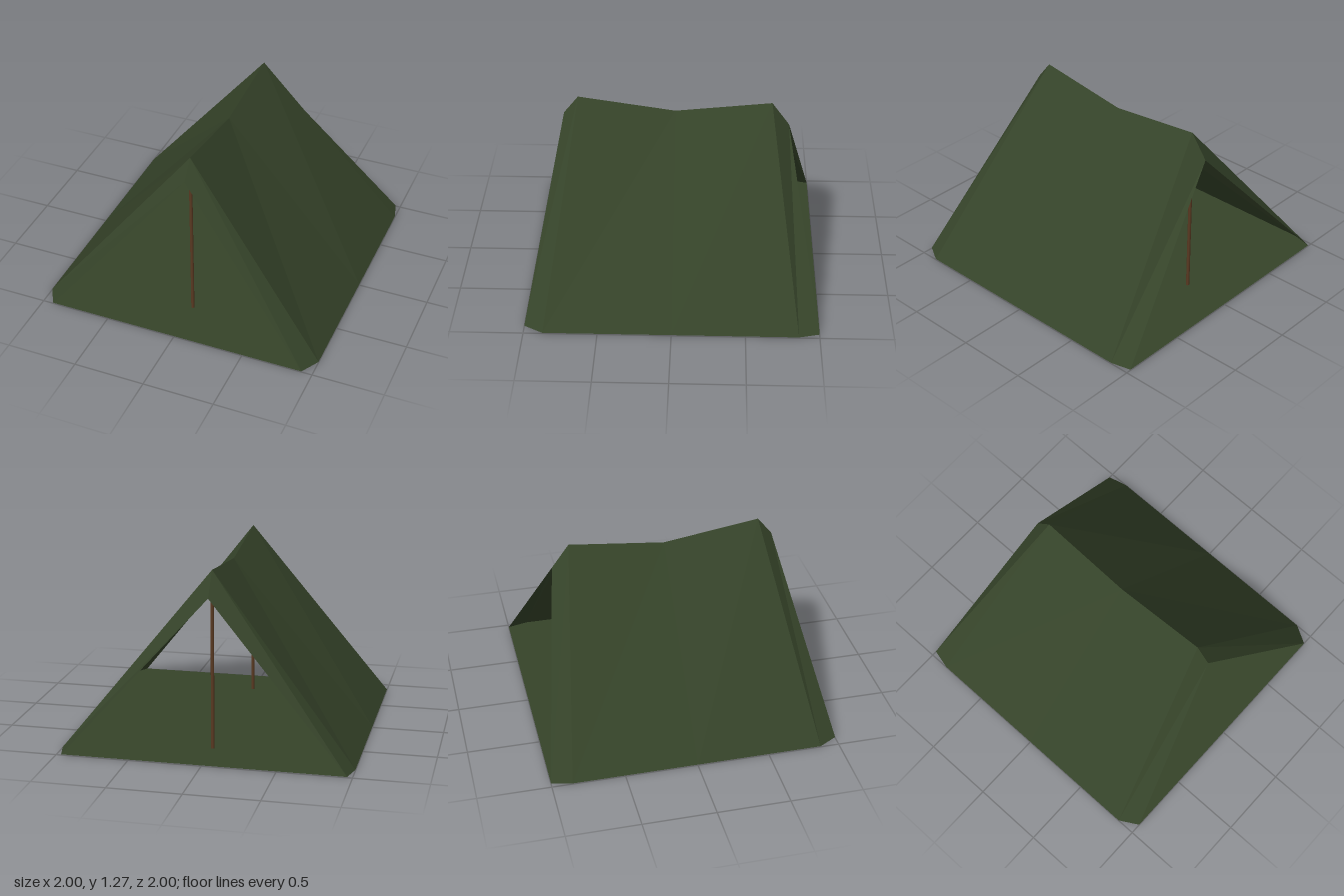
import * as THREE from 'three';

const canvas = new THREE.MeshStandardMaterial({ color: 0x354329, side: THREE.DoubleSide });
canvas.name = 'olive canvas';
const wood = new THREE.MeshStandardMaterial({ color: 0x5a3a22 });
wood.name = 'brown wood';

const BASE = 0.005;
// Cross-sections front to back: half width and z at the ground, then ridge height and z
const sections = [
  { w: 0.925, z: 1.0, h: 1.15, rz: 0.77 },
  { w: 1.0, z: 0.87, h: 1.275, rz: 0.67 },
  { w: 1.0, z: 0.0, h: 1.175, rz: 0.0 },
  { w: 1.0, z: -0.86, h: 1.245, rz: -0.665 },
  { w: 0.965, z: -1.0, h: 1.08, rz: -0.785 },
];

// Flat-shaded surface from a list of quads, each with four corners
function quadMesh(name, quads) {
  const points = quads.flatMap(([a, b, c, d]) => [a, b, c, a, c, d]).flat();
  const geometry = new THREE.BufferGeometry();
  geometry.setAttribute('position', new THREE.Float32BufferAttribute(points, 3));
  geometry.computeVertexNormals();
  const mesh = new THREE.Mesh(geometry, canvas);
  mesh.name = name;
  return mesh;
}

const foot = (s, side) => [side * s.w, BASE, s.z];
const ridge = (s) => [0, s.h, s.rz];

export function createModel() {
  const tent = new THREE.Group();
  tent.name = 'tent';
  const pairs = sections.slice(1).map((s, i) => [sections[i], s]);

  // Sloping walls with the sagging ridge and the tapered end overhangs
  for (const side of [1, -1]) {
    const quads = pairs.map(([a, b]) => {
      const q = [foot(a, side), foot(b, side), ridge(b), ridge(a)];
      return side > 0 ? q : q.reverse();
    });
    tent.add(quadMesh(side > 0 ? 'leftWall' : 'rightWall', quads));
  }

  // Groundsheet
  tent.add(quadMesh('groundsheet', pairs.map(([a, b]) =>
    [foot(a, -1), foot(a, 1), foot(b, 1), foot(b, -1)])));

  // Upright poles under both ridge peaks
  for (const [name, s] of [['frontPole', sections[1]], ['backPole', sections[3]]]) {
    const height = s.h - 0.03;
    const pole = new THREE.Mesh(new THREE.CylinderGeometry(0.012, 0.012, height, 8), wood);
    pole.name = name;
    pole.position.set(0, height / 2, s.rz);
    tent.add(pole);
  }
  return tent;
}
